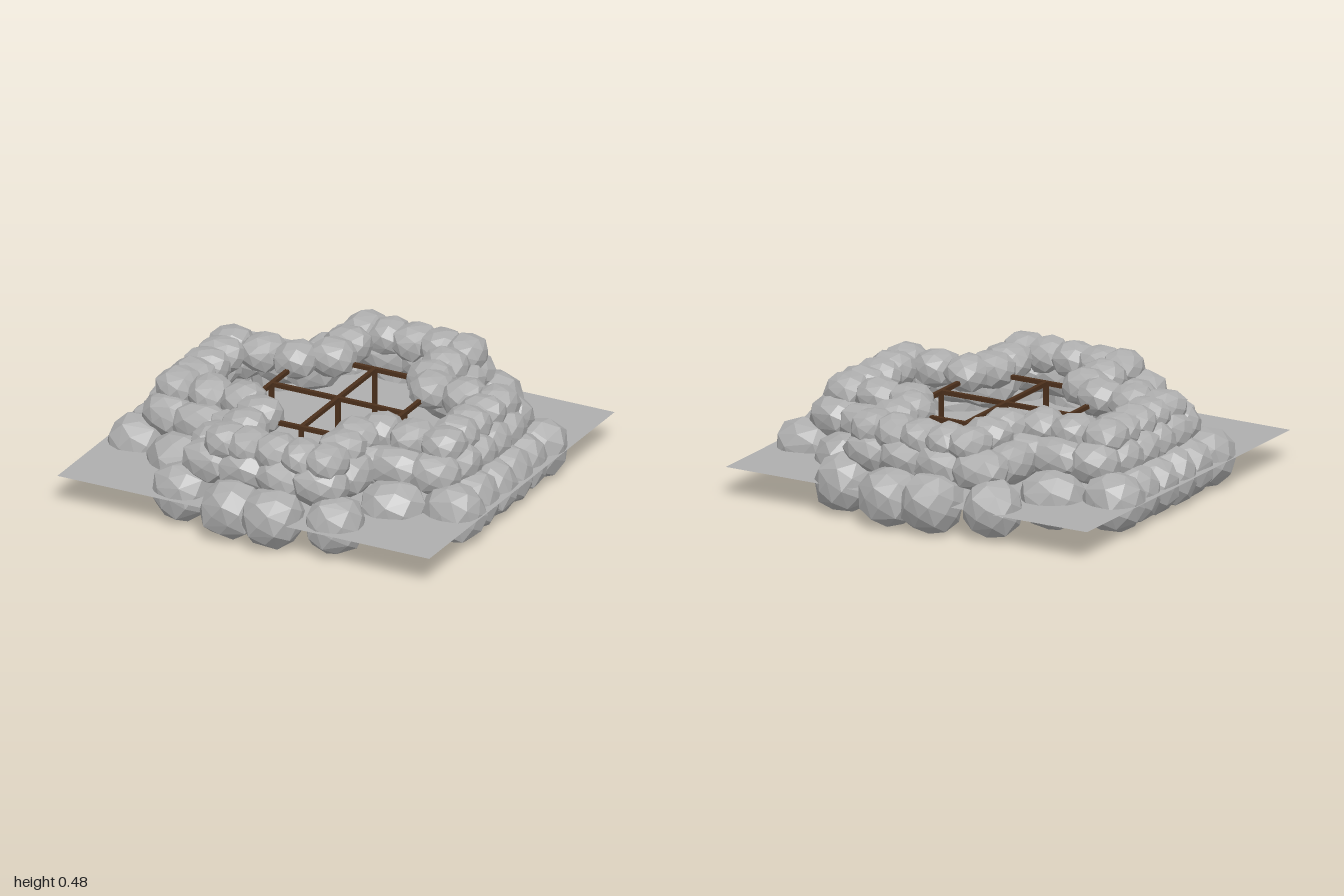
import * as THREE from 'three';
import { ConvexGeometry } from 'three/addons/geometries/ConvexGeometry.js';

let seed = 7;
const random = () => {
  seed = (seed * 16807) % 2147483647;
  return seed / 2147483647;
};

// Chunky boulder: hull of jittered points on a slightly squared-off sphere
function boulderGeometry() {
  const points = [];
  const count = 40;
  const spin = random() * 6;
  for (let i = 0; i < count; i++) {
    const y = 1 - (2 * (i + 0.5)) / count;
    const r = Math.sqrt(1 - y * y);
    const a = i * 2.39996 + spin;
    const p = new THREE.Vector3(r * Math.cos(a), y, r * Math.sin(a));
    const norm = Math.pow(Math.abs(p.x) ** 2.6 + Math.abs(p.y) ** 2.6 + Math.abs(p.z) ** 2.6, 1 / 2.6);
    points.push(p.multiplyScalar((0.93 + 0.09 * random()) / norm));
  }
  return new ConvexGeometry(points);
}

export function createModel() {
  const model = new THREE.Group();
  const stone = new THREE.MeshStandardMaterial({ color: 0xaeaeae });
  const ground = new THREE.MeshStandardMaterial({ color: 0xaeaeae, side: THREE.DoubleSide });
  const wood = new THREE.MeshStandardMaterial({ color: 0x4c301c });
  stone.name = 'stoneGrey';
  ground.name = 'groundGrey';
  wood.name = 'darkWood';

  const shapes = Array.from({ length: 7 }, boulderGeometry);
  let picked = 0;
  function boulder(parent, name, x, y, z, rx, ry, rz, turn = 0) {
    const mesh = new THREE.Mesh(shapes[picked++ % shapes.length], stone);
    mesh.name = name;
    mesh.position.set(x, y, z);
    mesh.scale.set(rx, ry, rz);
    mesh.rotation.y = turn;
    parent.add(mesh);
  }

  // Lower two courses are mirrored into all four quarters: [x, z, rx, rz, turn]
  function mirroredCourse(name, stones, y, ry) {
    const course = new THREE.Group();
    course.name = name;
    for (const sx of [1, -1]) for (const sz of [1, -1]) {
      for (const [x, z, rx, rz, turn] of stones) {
        boulder(course, name + 'Stone', sx * x, y, sz * z, rx, ry, rz, turn * sx * sz);
      }
    }
    model.add(course);
  }
  mirroredCourse('bottomCourse', [
    [0.11, 0.85, 0.145, 0.15, 0],
    [0.4, 0.78, 0.14, 0.14, 0.3],
    [0.56, 0.51, 0.155, 0.15, 0.6],
    [0.83, 0.41, 0.15, 0.14, -0.3],
    [0.84, 0.24, 0.12, 0.12, 0],
    [0.84, 0.08, 0.13, 0.115, 0],
  ], 0.14, 0.14);
  mirroredCourse('middleCourse', [
    [0.1, 0.72, 0.15, 0.12, 0],
    [0.29, 0.72, 0.14, 0.115, 0.2],
    [0.36, 0.55, 0.1, 0.14, 0],
    [0.35, 0.41, 0.14, 0.11, 0.5],
    [0.51, 0.39, 0.16, 0.1, 0],
    [0.7, 0.36, 0.13, 0.11, 0.2],
    [0.75, 0.22, 0.11, 0.12, 0],
    [0.75, 0.07, 0.115, 0.11, 0],
  ], 0.295, 0.1);

  // Top course follows a cross-shaped rim; ends and sides differ slightly
  const topCourse = new THREE.Group();
  topCourse.name = 'topCourse';
  const top = (x, z, rx, rz) =>
    boulder(topCourse, 'topCourseStone', x, 0.395, z, rx, 0.088, rz, (random() - 0.5) * 0.3);
  for (const s of [1, -1]) {
    for (const x of [-0.22, -0.1, 0.04, 0.18, 0.31]) top(x, s * 0.69, 0.1, 0.115);
    for (const z of [0.515, 0.36]) {
      top(-0.22, s * z, 0.115, 0.105);
      top(0.295, s * z, 0.115, 0.105);
    }
    for (const z of [-0.14, 0, 0.13]) top(s * 0.69, z, 0.115, 0.095);
    for (const t of [1, -1]) {
      for (const x of [0.36, 0.53, 0.7]) top(s * x, t * 0.26, 0.105, 0.115);
    }
  }
  model.add(topCourse);

  // Thin ground sheet crossing the bottom course
  const sheet = new THREE.Mesh(new THREE.PlaneGeometry(1.96, 1.84), ground);
  sheet.name = 'groundSheet';
  sheet.rotation.x = -Math.PI / 2;
  sheet.position.set(0, 0.15, 0.02);
  model.add(sheet);

  // Wooden rack: crossed bars, end bars and five posts
  const rack = new THREE.Group();
  rack.name = 'woodenRack';
  function bar(name, w, h, d, x, y, z) {
    const mesh = new THREE.Mesh(new THREE.BoxGeometry(w, h, d), wood);
    mesh.name = name;
    mesh.position.set(x, y, z);
    rack.add(mesh);
    return mesh;
  }
  bar('crossBar', 0.7, 0.02, 0.02, 0, 0.375, 0);
  bar('longBar', 0.02, 0.02, 0.73, 0, 0.375, 0);
  bar('centrePost', 0.02, 0.28, 0.02, 0, 0.24, 0);
  for (const s of [1, -1]) {
    bar('sideBar', 0.02, 0.02, 0.36, s * 0.35, 0.375, 0);
    bar('endBar', 0.4, 0.02, 0.02, 0, 0.375, s * 0.365);
    bar('sidePost', 0.02, 0.28, 0.02, s * 0.35, 0.24, 0);
    bar('endPost', 0.02, 0.28, 0.02, 0, 0.24, s * 0.365);
  }
  bar('looseStick', 0.1, 0.025, 0.025, 0.21, 0.25, -0.47).rotation.y = 0.6;
  model.add(rack);

  return model;
}
